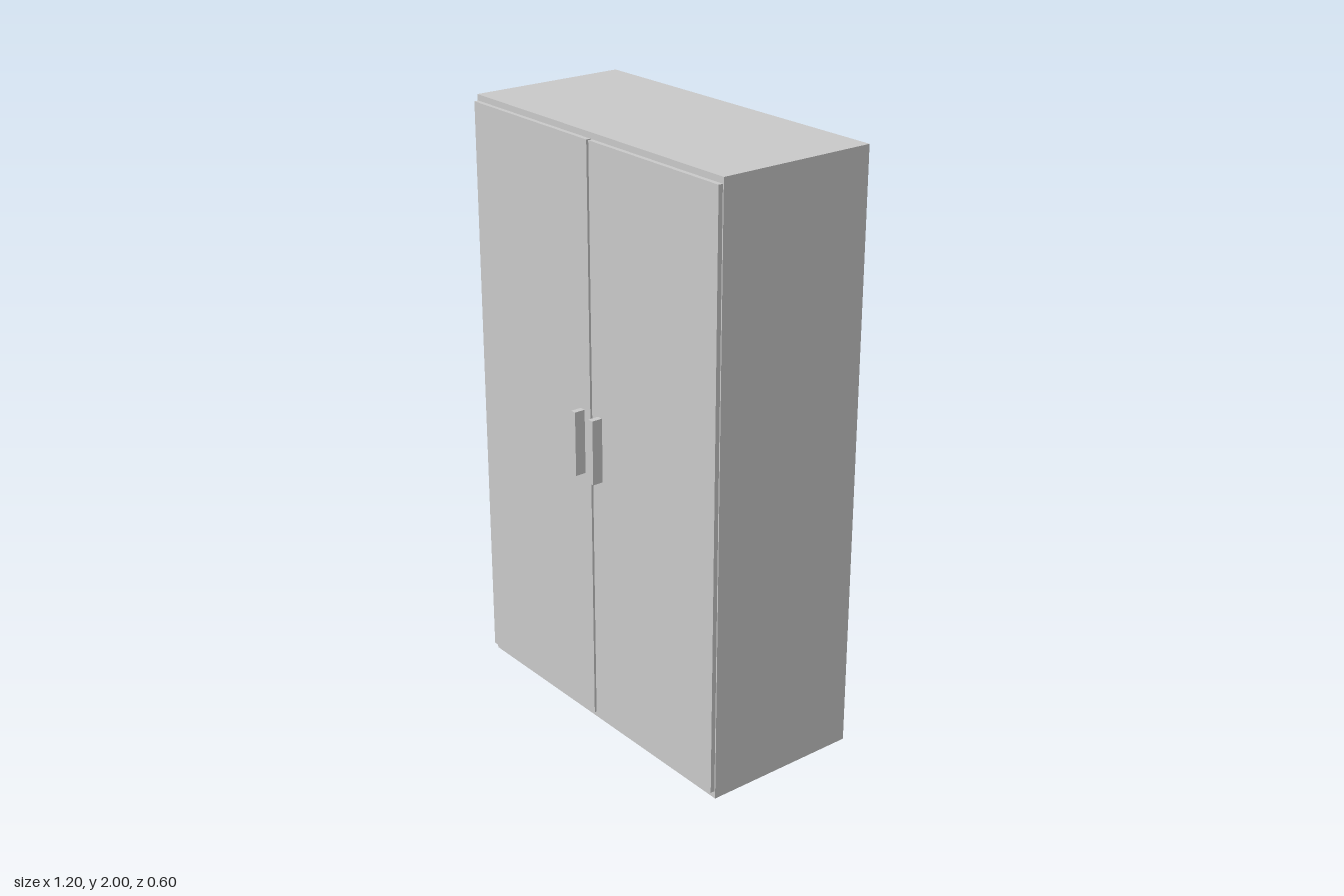
import * as THREE from 'three';

const material = new THREE.MeshStandardMaterial({ color: 0xcccccc });

// Box given by its extents along each axis
function box(name, [x0, x1], [y0, y1], [z0, z1]) {
  const mesh = new THREE.Mesh(new THREE.BoxGeometry(x1 - x0, y1 - y0, z1 - z0), material);
  mesh.name = name;
  mesh.position.set((x0 + x1) / 2, (y0 + y1) / 2, (z0 + z1) / 2);
  return mesh;
}

export function createModel() {
  const model = new THREE.Group();
  model.name = 'wardrobe';

  const front = 0.248, doorFront = 0.263;

  // Closed cabinet body
  model.add(box('cabinet', [-0.6, 0.6], [0, 2], [-0.3, front]));

  // Mirrored doors with upright bar handles beside the centre gap
  for (const [side, s] of [['left', 1], ['right', -1]]) {
    const span = (a, b) => (s > 0 ? [a, b] : [-b, -a]);
    model.add(box(side + 'Door', span(0.005, 0.596), [0.025, 1.98], [front, doorFront]));
    model.add(box(side + 'Handle', span(0.035, 0.055), [0.893, 1.11], [doorFront, 0.3]));
  }
  return model;
}
